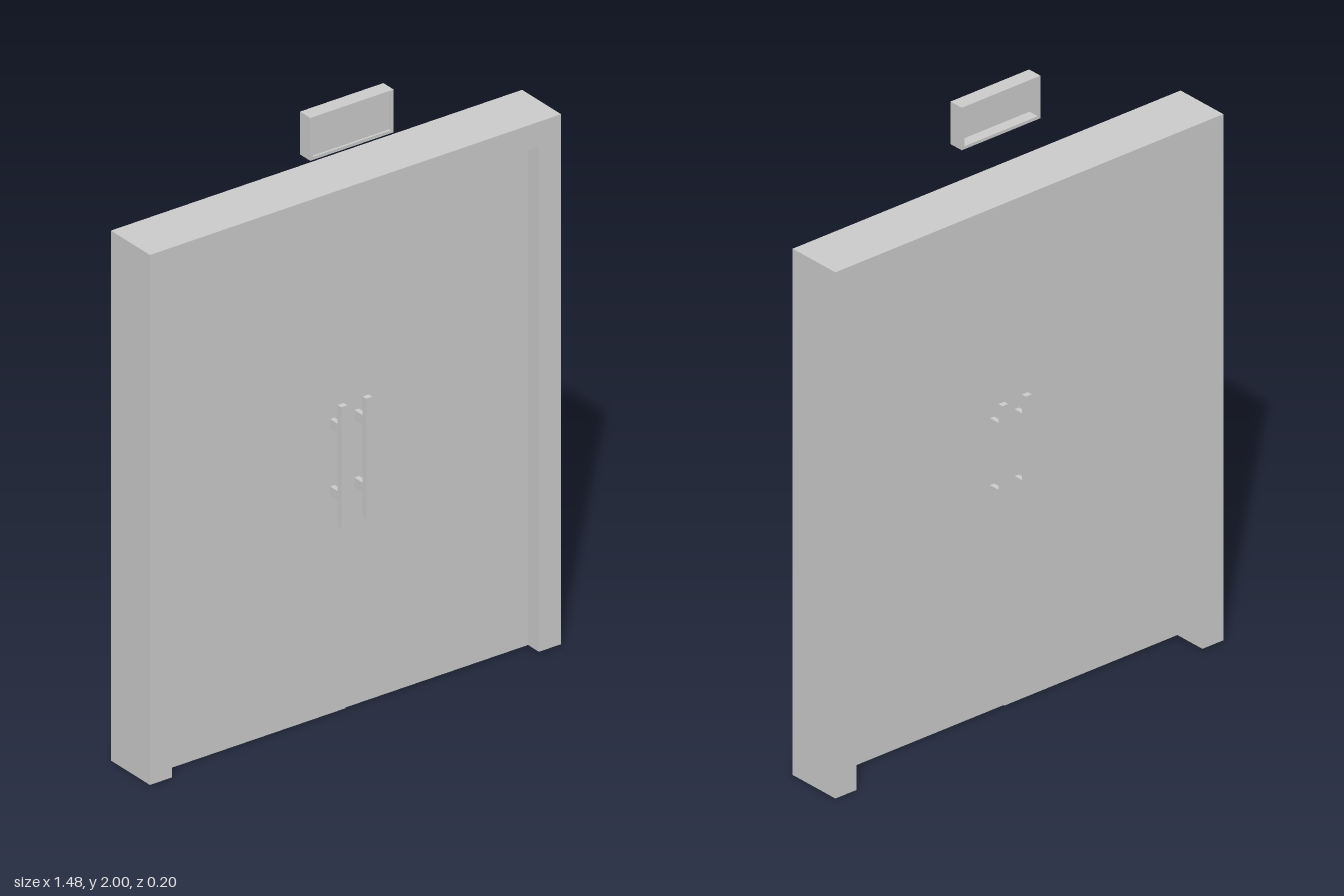
import * as THREE from 'three';

const material = new THREE.MeshStandardMaterial({ color: 0xcccccc, flatShading: true });

// Box given by its minimum and maximum corners
function box(name, [x0, y0, z0], [x1, y1, z1]) {
  const mesh = new THREE.Mesh(new THREE.BoxGeometry(x1 - x0, y1 - y0, z1 - z0), material);
  mesh.position.set((x0 + x1) / 2, (y0 + y1) / 2, (z0 + z1) / 2);
  mesh.name = name;
  return mesh;
}

// Flat outline pushed along z from z0 to z1
function slab(name, shape, z0, z1) {
  const geometry = new THREE.ExtrudeGeometry(shape, { depth: z1 - z0, bevelEnabled: false });
  const mesh = new THREE.Mesh(geometry, material);
  mesh.position.z = z0;
  mesh.name = name;
  return mesh;
}

const outline = (points) => points.map(([x, y]) => new THREE.Vector2(x, y));

// Upright pull bar on two standoffs, reaching from the door face to the bar
function pullHandle(name, x, doorZ, barZ) {
  const handle = new THREE.Group();
  handle.name = name;
  const half = 0.009;
  handle.add(box('pullBar', [x - 0.011, 0.63, barZ - half], [x + 0.011, 1.025, barZ + half]));
  for (const y of [0.725, 0.945]) {
    const near = Math.min(doorZ, barZ), far = Math.max(doorZ, barZ);
    handle.add(box('standoff', [x - 0.008, y - 0.016, near], [x + 0.008, y + 0.016, far]));
  }
  return handle;
}

export function createModel() {
  const model = new THREE.Group();
  model.name = 'doubleDoor';

  // Door frame: two jambs and a head in one piece
  const frame = new THREE.Shape(outline([
    [-0.74, 0], [-0.66, 0], [-0.66, 1.65], [0.66, 1.65],
    [0.66, 0], [0.74, 0], [0.74, 1.73], [-0.74, 1.73],
  ]));
  model.add(slab('doorFrame', frame, -0.1, 0.09));

  // Door leaves, the right one slightly thicker
  model.add(box('rightDoor', [-0.66, 0, 0.011], [0, 1.65, 0.041]));
  model.add(box('leftDoor', [0, 0, 0.015], [0.66, 1.65, 0.037]));

  // Pull handles on both faces of both leaves
  for (const [side, x] of [['right', -0.047], ['left', 0.043]]) {
    model.add(pullHandle(side + 'FrontHandle', x, 0.035, 0.09));
    model.add(pullHandle(side + 'BackHandle', x, 0.017, -0.034));
  }

  // Sign above the door: open-backed case with a panel set near its front
  const sign = new THREE.Group();
  sign.name = 'sign';
  const [x0, x1, y0, y1, rim] = [-0.165, 0.135, 1.86, 2, 0.01];
  const rimShape = new THREE.Shape(outline([[x0, y0], [x1, y0], [x1, y1], [x0, y1]]));
  rimShape.holes.push(new THREE.Path(outline([
    [x0 + rim, y0 + rim], [x0 + rim, y1 - rim], [x1 - rim, y1 - rim], [x1 - rim, y0 + rim],
  ])));
  sign.add(slab('signCase', rimShape, 0.043, 0.093));
  sign.add(box('signPanel', [x0 + rim, y0 + rim, 0.08], [x1 - rim, y1 - rim, 0.086]));
  model.add(sign);

  return model;
}
